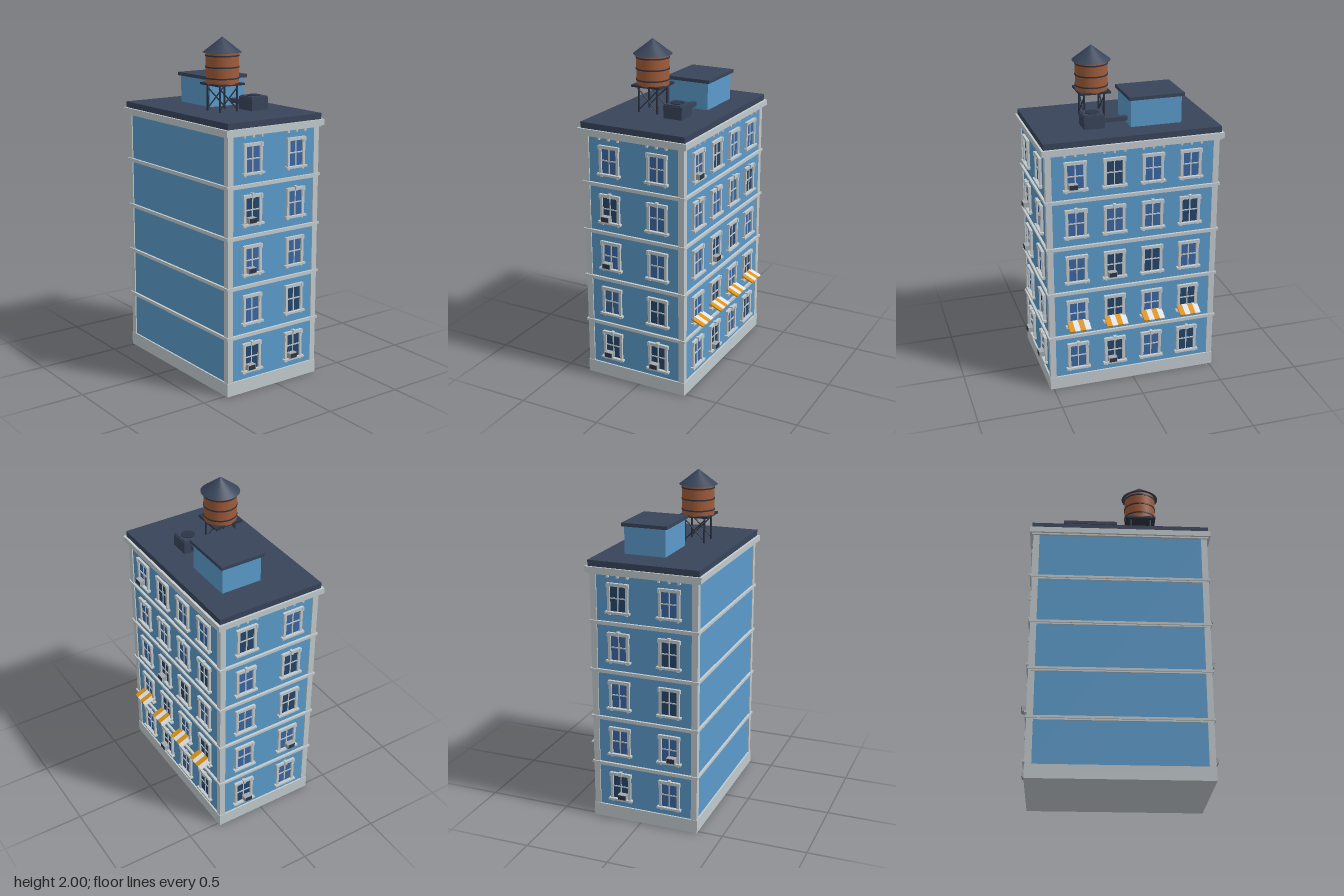
import * as THREE from 'three';

const mat = (name, color) => {
  const m = new THREE.MeshStandardMaterial({ color });
  m.name = name;
  return m;
};

export function createModel() {
  const wall = mat('blue wall', 0x5a9aca), trim = mat('pale stone', 0xc2cacd);
  const roof = mat('slate roof', 0x38445a), metal = mat('dark metal', 0x2c3545);
  const wood = mat('tank wood', 0xa05c3a), orange = mat('awning orange', 0xdc910f);
  const white = mat('awning white', 0xdfe2e6), glassLight = mat('light glass', 0x3a66a2);
  const glassDark = mat('dark glass', 0x24446a), grey = mat('unit grey', 0xa3a9ae);

  const model = new THREE.Group();
  model.name = 'apartmentBuilding';
  const unitBox = new THREE.BoxGeometry(1, 1, 1);

  const group = (parent, name, x = 0, y = 0, z = 0) => {
    const g = new THREE.Group();
    g.name = name;
    g.position.set(x, y, z);
    parent.add(g);
    return g;
  };
  const add = (parent, name, geo, m, x = 0, y = 0, z = 0) => {
    const mesh = new THREE.Mesh(geo, m);
    mesh.name = name;
    mesh.position.set(x, y, z);
    parent.add(mesh);
    return mesh;
  };
  const box = (parent, name, m, w, h, d, x = 0, y = 0, z = 0) => {
    const b = add(parent, name, unitBox, m, x, y, z);
    b.scale.set(w, h, d);
    return b;
  };
  // Bar between two points
  const bar = (parent, name, m, a, b, r) => {
    const p = new THREE.Vector3(...a), q = new THREE.Vector3(...b);
    const mesh = add(parent, name, new THREE.CylinderGeometry(r, r, p.distanceTo(q), 6), m);
    mesh.position.copy(p).add(q).multiplyScalar(0.5);
    mesh.quaternion.setFromUnitVectors(new THREE.Vector3(0, 1, 0), q.sub(p).normalize());
    return mesh;
  };

  // Main body
  const CX = -0.025;
  const body = group(model, 'body', CX);
  box(body, 'walls', wall, 0.63, 1.44, 1.02, 0, 0.79, 0);
  box(body, 'plinth', trim, 0.65, 0.08, 1.04, 0, 0.04, 0);
  for (const sx of [-1, 1]) for (const sz of [-1, 1])
    box(body, 'cornerPilaster', trim, 0.036, 1.43, 0.036, sx * 0.304, 0.785, sz * 0.499);
  for (let i = 0; i < 4; i++) {
    const y = 0.35 + i * 0.29;
    box(body, 'floorBand', trim, 0.66, 0.014, 1.05, 0, y, 0);
    box(body, 'floorBandLower', trim, 0.646, 0.01, 1.036, 0, y - 0.011, 0);
  }
  box(body, 'cornice', trim, 0.69, 0.034, 1.074, 0, 1.523, 0);
  box(body, 'corniceLower', trim, 0.665, 0.01, 1.05, 0, 1.502, 0);
  box(body, 'roofSlab', roof, 0.66, 0.035, 1.05, 0, 1.5575, 0);

  // Window, centred on the wall plane and facing local +z
  const makeWindow = (parent, x, y, floor, dark) => {
    const w = group(parent, 'window', x, y, 0);
    box(w, 'glass', dark ? glassDark : glassLight, 0.1, 0.16, 0.006, 0, 0, 0.001);
    for (const s of [-1, 1]) {
      box(w, 'frameSide', trim, 0.016, 0.165, 0.014, s * 0.055, 0, 0.007);
      box(w, 'sillBracket', trim, 0.012, 0.012, 0.012, s * 0.052, -0.093, 0.006);
      box(w, 'lintelEnd', trim, 0.014, 0.024, 0.018, s * 0.06, 0.075, 0.009);
    }
    box(w, 'lintel', trim, 0.126, 0.018, 0.016, 0, 0.079, 0.008);
    box(w, 'sill', trim, 0.148, 0.012, 0.024, 0, -0.082, 0.012);
    box(w, 'mullion', trim, 0.007, 0.15, 0.008, 0, 0, 0.004);
    box(w, 'transom', trim, 0.095, 0.007, 0.008, 0, 0, 0.004);
    if (floor === 0 || floor === 3) box(w, 'keystone', trim, 0.018, 0.026, 0.022, 0, 0.083, 0.011);
    if (floor === 4) for (const s of [-1, 0, 1])
      box(w, 'corniceBracket', trim, 0.012, 0.014, 0.016, s * 0.06, 0.125, 0.008);
  };

  // Window unit with a dark grille
  const makeCooler = (parent, x, y) => {
    const c = group(parent, 'windowCooler', x, y - 0.055, 0);
    box(c, 'case', grey, 0.052, 0.032, 0.038, 0, 0, 0.019);
    box(c, 'grille', metal, 0.046, 0.026, 0.004, 0, 0, 0.038);
  };

  // Striped awning sloping outward
  const makeAwning = (parent, x, y) => {
    const a = group(parent, 'awning', x, y - 0.068, 0.037);
    a.rotation.x = 0.41;
    for (let i = 0; i < 4; i++)
      box(a, 'stripe', i % 2 ? white : orange, 0.0325, 0.008, 0.084, (i - 1.5) * 0.0325, 0, 0);
  };

  // Facades: glass rows run from the ground up, D is dark; coolers are [floor, column]
  const facades = [
    { name: 'frontFacade', pos: [CX, 0, 0.51], turn: 0, cols: [-0.153, 0.153], shift: -0.018,
      rows: ['DD', 'LD', 'LL', 'DL', 'LL'], coolers: [[0, 0], [0, 1], [2, 0], [3, 0]] },
    { name: 'backFacade', pos: [CX, 0, -0.51], turn: Math.PI, cols: [-0.153, 0.153], shift: 0.018,
      rows: ['DL', 'LL', 'LD', 'LD', 'DL'], coolers: [[0, 0], [1, 1]] },
    { name: 'sideFacade', pos: [0.29, 0, 0], turn: Math.PI / 2, cols: [-0.344, -0.115, 0.115, 0.344],
      shift: -0.018, rows: ['LDLD', 'LDLD', 'LDDL', 'LLLD', 'LDLL'],
      coolers: [[0, 1], [2, 1], [4, 0]], awningFloor: 1 },
  ];
  for (const f of facades) {
    const g = group(model, f.name, ...f.pos);
    g.rotation.y = f.turn;
    f.rows.forEach((row, floor) => f.cols.forEach((x, c) => {
      const y = 0.21 + floor * 0.289;
      makeWindow(g, x, y, floor, row[c] === 'D');
      if (f.awningFloor === floor) makeAwning(g, x, y);
    }));
    for (const [floor, c] of f.coolers) makeCooler(g, f.cols[c] + f.shift, 0.21 + floor * 0.289);
  }

  // Stair house on the roof
  const ROOF = 1.575;
  const stair = group(model, 'stairHouse', 0.042, ROOF, -0.175);
  box(stair, 'stairWalls', wall, 0.25, 0.16, 0.304, 0, 0.08, 0);
  box(stair, 'stairRoof', roof, 0.276, 0.02, 0.332, 0, 0.17, 0);

  // Ventilation unit and duct
  const vent = group(model, 'ventilationUnit', 0.08, ROOF, 0.184);
  box(vent, 'ventBody', roof, 0.118, 0.074, 0.122, 0, 0.037, 0);
  box(vent, 'ventTop', roof, 0.108, 0.008, 0.112, 0, 0.077, 0);
  add(vent, 'fanCover', new THREE.CylinderGeometry(0.04, 0.04, 0.004, 24), metal, 0, 0.083, 0);
  box(vent, 'duct', roof, 0.032, 0.026, 0.16, 0, 0.03, -0.13);

  // Water tank
  const tank = group(model, 'waterTank', -0.107, ROOF, 0.133);
  const L = 0.06;
  for (const sx of [-1, 1]) for (const sz of [-1, 1])
    bar(tank, 'leg', metal, [sx * L, 0, sz * L], [sx * L, 0.155, sz * L], 0.006);
  for (const sz of [-1, 1]) for (const s of [-1, 1])
    bar(tank, 'crossBrace', metal, [-s * L, 0.015, sz * L], [s * L, 0.135, sz * L], 0.004);
  box(tank, 'platform', metal, 0.184, 0.012, 0.184, 0, 0.158, 0);
  add(tank, 'barrel', new THREE.CylinderGeometry(0.095, 0.095, 0.18, 32), wood, 0, 0.25, 0);
  for (const y of [0.192, 0.255, 0.32])
    add(tank, 'hoop', new THREE.CylinderGeometry(0.098, 0.098, 0.008, 32), metal, 0, y, 0);
  add(tank, 'tankRoof', new THREE.ConeGeometry(0.113, 0.088, 32), roof, 0, 0.381, 0);

  return model;
}
